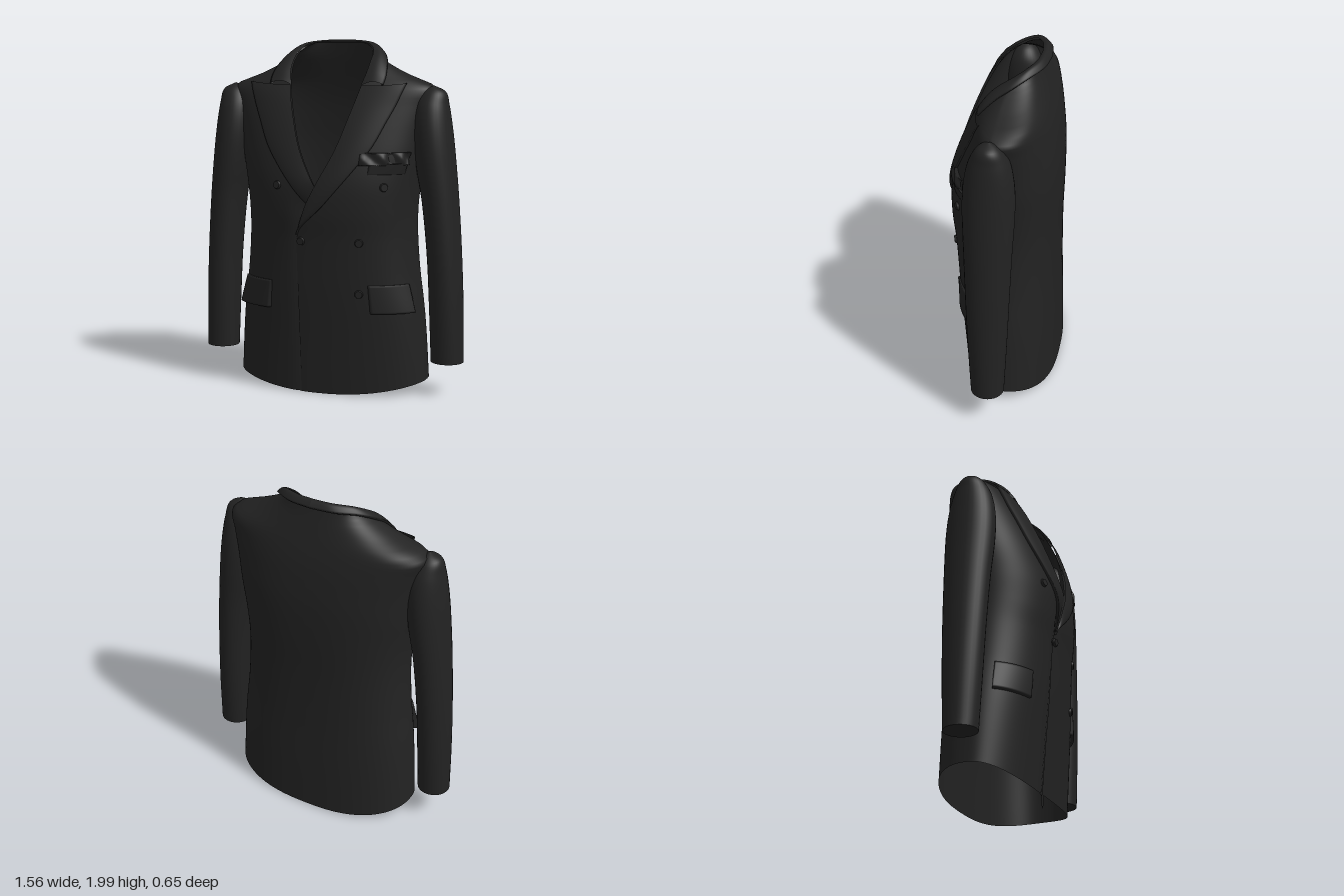
import * as THREE from 'three';
import { mergeVertices } from 'three/addons/utils/BufferGeometryUtils.js';

const cloth = new THREE.MeshStandardMaterial({ color: 0x222222, side: THREE.DoubleSide });
cloth.name = 'charcoal cloth';

const smooth = (t) => THREE.MathUtils.smoothstep(t, 0, 1);

// Smooth curve through [y, value] pairs
function curve(pts) {
  const slope = (i) => {
    const a = pts[Math.max(0, i - 1)], b = pts[Math.min(pts.length - 1, i + 1)];
    return (b[1] - a[1]) / (b[0] - a[0]);
  };
  return (y) => {
    let i = 0;
    while (i < pts.length - 2 && y > pts[i + 1][0]) i++;
    const [y0, v0] = pts[i], [y1, v1] = pts[i + 1], h = y1 - y0;
    const t = THREE.MathUtils.clamp((y - y0) / h, 0, 1), t2 = t * t, t3 = t2 * t;
    return (2 * t3 - 3 * t2 + 1) * v0 + (t3 - 2 * t2 + t) * h * slope(i)
      + (3 * t2 - 2 * t3) * v1 + (t3 - t2) * h * slope(i + 1);
  };
}

// Body profile by height: half width, front depth, back depth, side seam depth
const width = curve([[0, .56], [.3, .545], [.5, .53], [.7, .505], [.9, .49], [1.05, .49], [1.2, .505], [1.35, .53],
  [1.5, .55], [1.65, .58], [1.72, .6], [1.755, .57], [1.8, .45], [1.85, .345], [1.9, .26], [1.95, .205], [1.98, .155]]);
const front = curve([[0, .21], [.3, .235], [.6, .262], [.9, .285], [1.05, .303], [1.2, .302], [1.35, .273], [1.5, .228],
  [1.65, .168], [1.75, .115], [1.8, .085], [1.85, .05], [1.9, -.01], [1.95, -.08], [1.98, -.15]]);
const back = curve([[0, -.322], [.3, -.316], [.6, -.308], [.9, -.307], [1.2, -.314], [1.4, -.311], [1.55, -.296],
  [1.65, -.28], [1.75, -.255], [1.85, -.225], [1.9, -.21], [1.98, -.19]]);
const seam = curve([[0, -.03], [1.7, -.02], [1.8, -.03], [1.85, -.04], [1.9, -.06], [1.95, -.1], [1.98, -.15]]);
// Front opening edge and lapel outer edge
const opening = curve([[0, -.115], [.5, -.115], [.9, -.115], [.96, -.1], [1.1, -.05], [1.2, 0], [1.4, .1], [1.6, .165],
  [1.75, .205], [1.86, .225], [1.9, .225], [1.95, .204], [1.98, .155]]);
const lapelEdge = curve([[.93, -.11], [.97, -.085], [1.1, .05], [1.39, .28], [1.57, .37], [1.7, .43], [1.76, .455]]);

// Point on the body: phi 0 is the front, PI the back
function surface(phi, y, lift = 0) {
  const s = Math.sin(phi), c = Math.cos(phi), e = c >= 0 ? 2 / 2.2 : 2 / 2.5, zc = seam(y);
  const depth = c >= 0 ? front(y) + lift - zc : back(y) - lift - zc;
  return new THREE.Vector3(Math.sign(s) * Math.abs(s) ** e * (width(y) + lift), y, zc + Math.abs(c) ** e * depth);
}
const phiAt = (x, y) => Math.sign(x) * Math.asin(Math.min(1, Math.abs(x) / width(y)) ** 1.1);

// Grid surface from a rule; side -1 mirrors it
function sheet(name, nu, nv, rule, side = 1) {
  const pos = [], idx = [];
  for (let j = 0; j <= nv; j++) for (let i = 0; i <= nu; i++) {
    const p = rule(i / nu, j / nv);
    pos.push(p.x * side, p.y, p.z);
    if (i < nu && j < nv) {
      const a = j * (nu + 1) + i, b = a + 1, c = a + nu + 1, d = c + 1;
      idx.push(...(side > 0 ? [a, b, c, b, d, c] : [a, c, b, b, c, d]));
    }
  }
  let g = new THREE.BufferGeometry();
  g.setAttribute('position', new THREE.Float32BufferAttribute(pos, 3));
  g.setIndex(idx);
  g = mergeVertices(g, 1e-5);
  g.computeVertexNormals();
  const m = new THREE.Mesh(g, cloth);
  m.name = name;
  return m;
}

// Half of the body from front edge to centre back, with a curved hem
function bodyHalf(side) {
  return sheet(side > 0 ? 'leftBody' : 'rightBody', 56, 80, (u, v) => {
    const y = 1.98 * v;
    const start = phiAt(Math.min(opening(y), width(y)), y);
    const phi = THREE.MathUtils.lerp(start, Math.PI, u);
    const p = surface(phi, y);
    if (side < 0 && phi < 1) // underlap tucks behind the other panel
      p.z -= .09 * smooth((.17 - p.x) / .3) * (1 - smooth((y - 1.05) / .2));
    p.y += (.008 + .072 * Math.sin(phi) ** 2) * Math.max(0, 1 - y / .5);
    return p;
  }, side);
}

function lapel(side) {
  return sheet('lapel', 16, 40, (u, v) => {
    const y = .93 + .82 * v, a = opening(y), b = Math.max(a + .003, lapelEdge(y));
    const k = Math.min(1, u / .94);
    const x = THREE.MathUtils.lerp(a, b, k);
    const lift = u > .95 ? 0 : .006 + .014 * Math.sin(Math.PI * (.12 + .7 * k));
    const p = surface(phiAt(x, y), y, lift);
    if (side < 0) p.z -= .09 * smooth((.17 - x) / .3) * (1 - smooth((y - 1.05) / .2));
    p.y += .015 * k * k * smooth((v - .85) / .15);
    return p;
  }, side);
}

// Collar runs from the notch over the shoulder to the centre back
const path = (pts) => new THREE.CatmullRomCurve3(pts.map((p) => new THREE.Vector3(...p)));
const collarInner = path([[.205, 1.75, .115], [.224, 1.82, .073], [.228, 1.88, .015], [.222, 1.935, -.065],
  [.185, 1.972, -.13], [.1, 1.987, -.175], [0, 1.99, -.187]]);
const collarOuter = path([[.335, 1.757, .11], [.338, 1.8, .07], [.325, 1.86, 0], [.3, 1.907, -.075],
  [.245, 1.945, -.15], [.14, 1.962, -.22], [0, 1.966, -.243]]);
function collar(side) {
  return sheet('collar', 12, 40, (u, v) => {
    const k = Math.min(1, u / .92);
    const p = collarInner.getPoint(v).lerp(collarOuter.getPoint(v), k);
    p.y += .018 * Math.sin(Math.PI * k);
    if (u > .93) p.set(p.x * .95, p.y - .012, p.z * .95);
    return p;
  }, side);
}

// Sleeve profile by height: inner x, outer x, half depth
const sleeveIn = curve([[.2, .592], [.5, .58], [.8, .565], [1.1, .535], [1.3, .5], [1.5, .48], [1.65, .49], [1.72, .53], [1.752, .59]]);
const sleeveOut = curve([[.2, .778], [.5, .773], [.8, .76], [1.1, .74], [1.3, .722], [1.5, .7], [1.65, .677], [1.72, .656], [1.752, .592]]);
const sleeveDepth = curve([[.2, .093], [.5, .108], [.8, .12], [1.1, .131], [1.35, .141], [1.5, .135], [1.62, .112], [1.7, .075], [1.735, .04], [1.752, .003]]);
const sleevePoint = (u, y, k = 1) => {
  const a = u * Math.PI * 2, i = sleeveIn(y), o = sleeveOut(y);
  return new THREE.Vector3((i + o) / 2 + k * Math.cos(a) * (o - i) / 2, y, -k * Math.sin(a) * sleeveDepth(y) - .002);
};
function sleeve(side) {
  const g = new THREE.Group();
  g.name = side > 0 ? 'leftSleeve' : 'rightSleeve';
  g.add(sheet('sleeveTube', 32, 60, (u, v) => sleevePoint(u, .2 + 1.552 * Math.sin(v * Math.PI / 2)), side));
  g.add(sheet('cuffEnd', 32, 1, (u, v) => sleevePoint(u, .2, v), side));
  return g;
}

// Raised panel lying on the body, with its rim sunk into the cloth
function panel(name, side, [p0, p1], [y0, y1], lift) {
  return sheet(name, 28, 16, (u, v) => {
    const k = THREE.MathUtils.clamp((u - .03) / .94, 0, 1), h = THREE.MathUtils.clamp((v - .06) / .88, 0, 1);
    const rim = u === 0 || u === 1 || v === 0 || v === 1;
    return surface(THREE.MathUtils.lerp(p0, p1, k), THREE.MathUtils.lerp(y0, y1, h), rim ? -.003 : lift(k, h));
  }, side);
}

function button(x, y) {
  const phi = phiAt(x, y), p = surface(phi, y, .003);
  const du = surface(phi + .02, y).sub(surface(phi - .02, y));
  const dv = surface(phi, y + .02).sub(surface(phi, y - .02));
  const m = new THREE.Mesh(new THREE.CylinderGeometry(.02, .026, .018, 20), cloth);
  m.name = 'button';
  m.position.copy(p);
  m.quaternion.setFromUnitVectors(new THREE.Vector3(0, 1, 0), du.cross(dv).normalize());
  return m;
}

export function createModel() {
  const jacket = new THREE.Group();
  jacket.name = 'jacket';
  for (const side of [1, -1]) {
    jacket.add(bodyHalf(side), lapel(side), collar(side), sleeve(side));
    jacket.add(panel('pocketFlap', side, [.55, 1.2], [.49, .65], (k, h) => .01 + .022 * (1 - h) * (.4 + .6 * k)));
  }
  // Folded pocket square and its welt
  jacket.add(panel('pocketSquare', 1, [.42, 1.12], [1.32, 1.39],
    (k, h) => .012 + .012 * Math.sin(k * 17 + h * 2) * Math.sin(h * 3) + .008 * Math.sin(k * 7)));
  jacket.add(panel('breastWelt', 1, [.55, 1.1], [1.27, 1.33], (k, h) => .002 + .01 * h));
  for (const [x, y] of [[-.23, 1.2], [.37, 1.2], [-.09, .89], [.24, .89], [.235, .6]]) jacket.add(button(x, y));
  return jacket;
}
